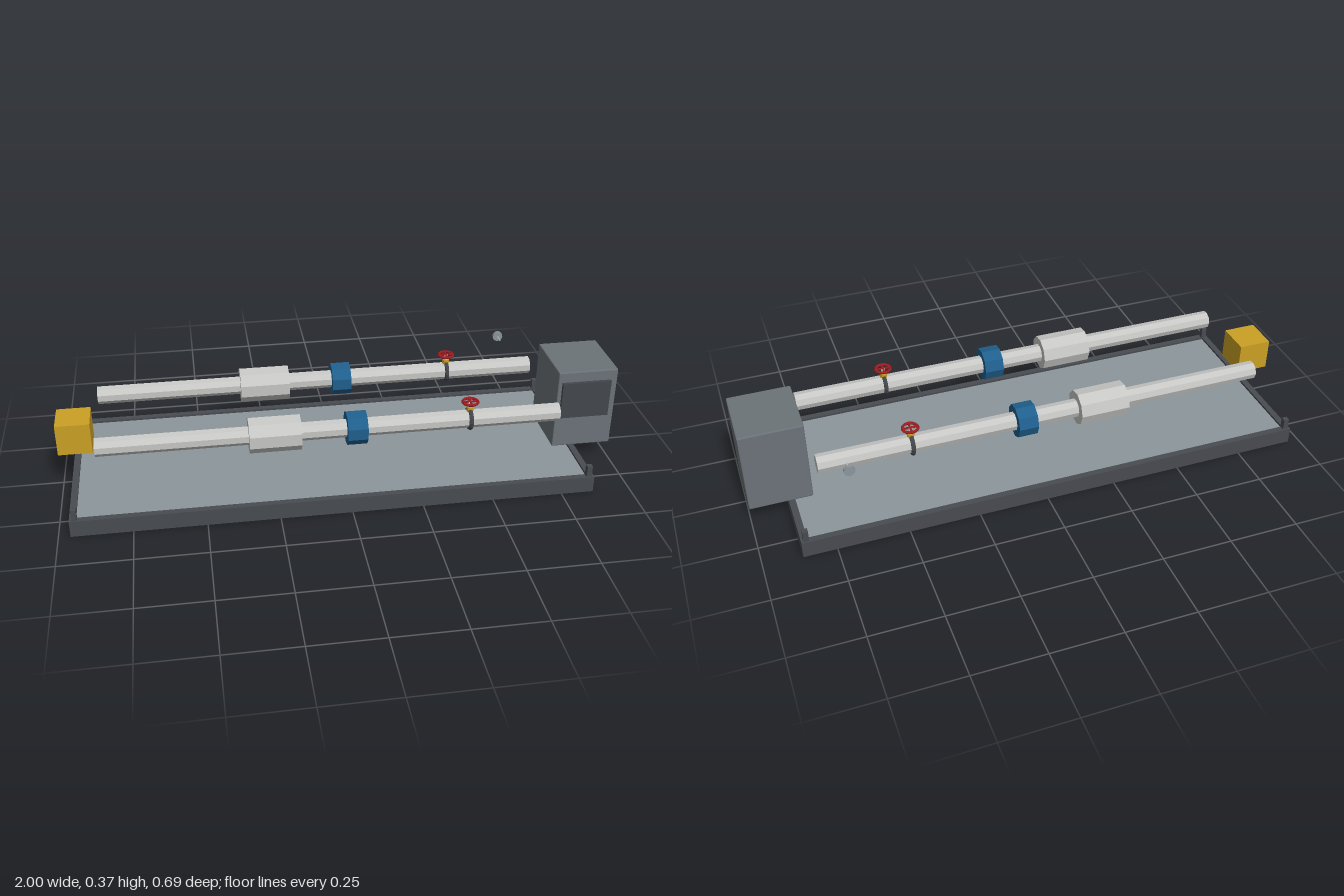
import * as THREE from 'three';
import { RoundedBoxGeometry } from 'three/addons/geometries/RoundedBoxGeometry.js';

const paint = (name, color) => {
  const m = new THREE.MeshStandardMaterial({ color, flatShading: true });
  m.name = name;
  return m;
};

export function createModel() {
  const steel = paint('steel', 0xc6c6c4);
  const deckGrey = paint('deck grey', 0x8b969b);
  const frameGrey = paint('frame grey', 0x484b50);
  const boxGrey = paint('cabinet grey', 0x6c7378);
  const dark = paint('dark grey', 0x43474c);
  const blue = paint('blue', 0x1f5f8d);
  const yellow = paint('yellow', 0xcba024);
  const red = paint('red', 0xa01c20);

  const model = new THREE.Group();
  model.name = 'pipeSkid';

  const add = (parent, name, geometry, material, x, y, z) => {
    const mesh = new THREE.Mesh(geometry, material);
    mesh.name = name;
    mesh.position.set(x, y, z);
    parent.add(mesh);
    return mesh;
  };
  const box = (w, h, d) => new THREE.BoxGeometry(w, h, d);
  // Nine-sided cylinder along x, with its flat side toward +z
  const tubeX = (r, length) =>
    new THREE.CylinderGeometry(r, r, length, 9, 1, false, Math.PI).rotateZ(Math.PI / 2);

  // Base: side rails, end rails, corner posts and the recessed deck
  const base = new THREE.Group();
  base.name = 'base';
  model.add(base);
  const midX = -0.047;
  for (const s of [-1, 1]) {
    add(base, 'sideRail', box(1.825, 0.06, 0.023), frameGrey, midX, 0.03, s * 0.3315);
    add(base, 'endRail', box(0.023, 0.06, 0.64), frameGrey, midX + s * 0.901, 0.03, 0);
    for (const t of [-1, 1]) {
      add(base, 'cornerPost', box(0.019, 0.04, 0.019), frameGrey, midX + s * 0.895, 0.08, t * 0.3275);
    }
  }
  add(base, 'deck', box(1.779, 0.02, 0.64), deckGrey, midX, 0.042, 0);

  // Two identical pipe runs, each with a sleeve, a coupling and a valve
  for (const z of [-0.184, 0.184]) {
    const run = new THREE.Group();
    run.name = 'pipeRun';
    run.position.set(0, 0.247, z);
    model.add(run);
    add(run, 'pipe', tubeX(0.033, 1.625), steel, -0.0475, 0, 0);
    add(run, 'sleeve', tubeX(0.063, 0.18), steel, -0.25, 0, 0);
    add(run, 'coupling', tubeX(0.06, 0.07), blue, 0.035, 0, 0);

    const valve = new THREE.Group();
    valve.name = 'valve';
    valve.position.x = 0.44;
    run.add(valve);
    add(valve, 'clamp', new THREE.TorusGeometry(0.035, 0.008, 6, 14).rotateY(Math.PI / 2), dark, 0, 0, 0);
    add(valve, 'bonnet', new THREE.CylinderGeometry(0.013, 0.013, 0.022, 8), yellow, 0, 0.036, 0);
    add(valve, 'stem', new THREE.CylinderGeometry(0.008, 0.008, 0.024, 8), steel, 0, 0.055, 0);
    add(valve, 'handwheel', new THREE.TorusGeometry(0.027, 0.005, 6, 12).rotateX(Math.PI / 2), red, 0, 0.066, 0);
    for (const angle of [0, Math.PI / 2]) {
      add(valve, 'spoke', box(0.052, 0.005, 0.006), red, 0, 0.067, 0).rotation.y = angle;
    }
  }

  // Control cabinet with its front panel
  add(model, 'cabinet', new RoundedBoxGeometry(0.22, 0.304, 0.242, 1, 0.004), boxGrey, 0.89, 0.213, 0);
  add(model, 'cabinetPanel', box(0.18, 0.14, 0.013), dark, 0.885, 0.255, 0.1265);

  // Yellow box at the other end
  add(model, 'motorBox', box(0.12, 0.115, 0.125), yellow, -0.94, 0.208, -0.003);

  // Gauge: disc at the back with a thin stem toward the front
  const gauge = new THREE.Group();
  gauge.name = 'gauge';
  gauge.position.set(0.68, 0.306, 0);
  model.add(gauge);
  add(gauge, 'gaugeDial', new THREE.CylinderGeometry(0.019, 0.019, 0.011, 12).rotateX(Math.PI / 2), deckGrey, 0, 0, -0.3245);
  add(gauge, 'gaugeStem', new THREE.CylinderGeometry(0.002, 0.002, 0.037, 6).rotateX(Math.PI / 2), steel, 0, 0, -0.3015);

  return model;
}
